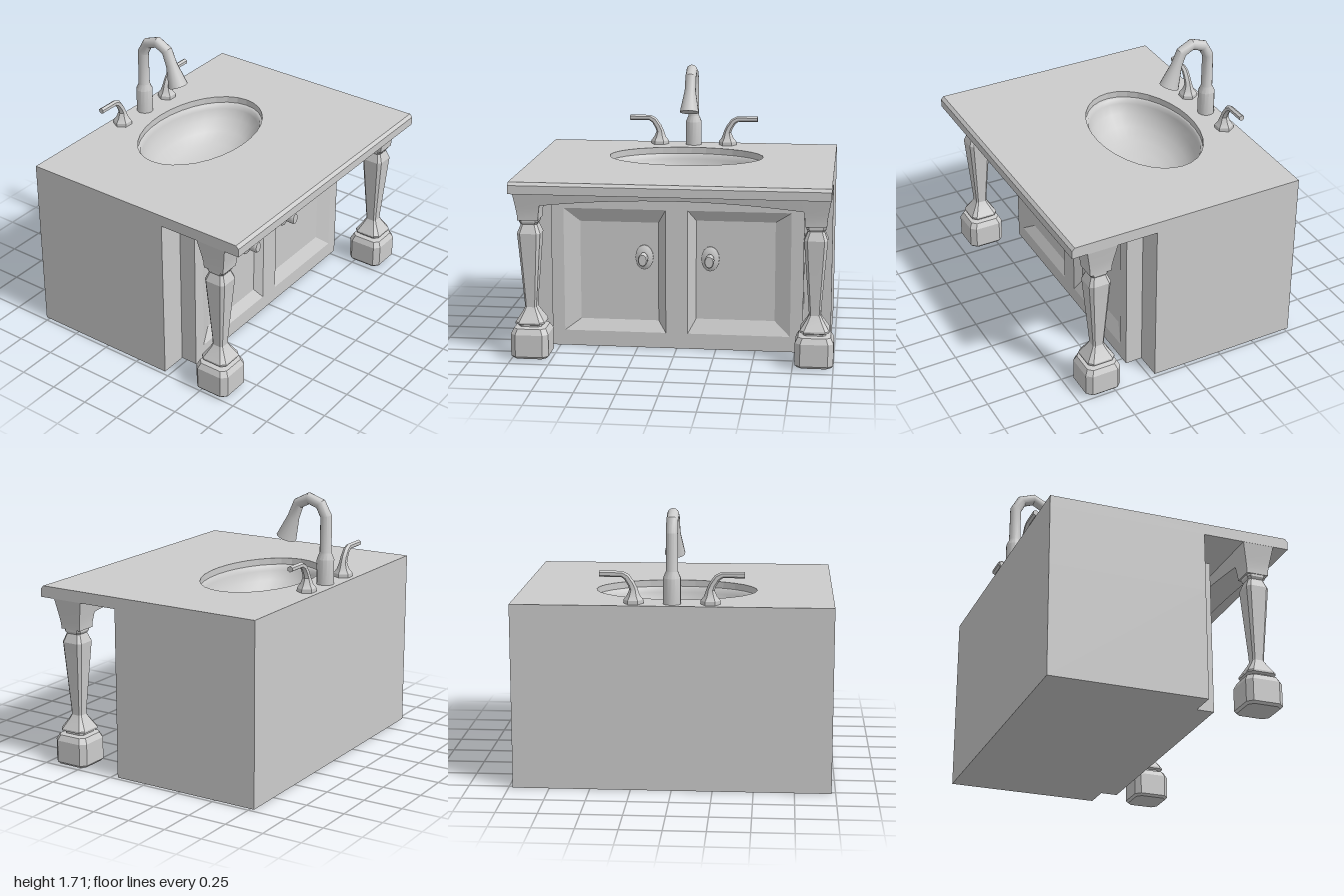
import * as THREE from 'three';
import { toCreasedNormals } from 'three/addons/utils/BufferGeometryUtils.js';

const grey = new THREE.MeshStandardMaterial({ color: 0xcccccc });
const greyDouble = new THREE.MeshStandardMaterial({ color: 0xcccccc, side: THREE.DoubleSide });

function part(parent, name, geometry, material = grey) {
  const mesh = new THREE.Mesh(geometry, material);
  mesh.name = name;
  parent.add(mesh);
  return mesh;
}

function box(x0, x1, y0, y1, z0, z1) {
  return new THREE.BoxGeometry(x1 - x0, y1 - y0, z1 - z0)
    .translate((x0 + x1) / 2, (y0 + y1) / 2, (z0 + z1) / 2);
}

// Cross-sections with unit half-width
const round = (n) => Array.from({ length: n }, (_, i) => {
  const a = (i / n) * Math.PI * 2;
  return [Math.cos(a), Math.sin(a)];
});
const square = [[1, -1], [1, 1], [-1, 1], [-1, -1]];
const c = 0.72;
const softSquare = [[1, -c], [1, c], [c, 1], [-c, 1], [-1, c], [-1, -c], [-c, -1], [c, -1]];

// Sweeps a section along rows of [x, y, halfWidth] in the xy plane, with closed ends
function sweep(rows, section, crease = 0.6) {
  const pts = rows.map(([x, y]) => new THREE.Vector2(x, y));
  const n = section.length, last = rows.length - 1;
  const pos = [], idx = [];
  pts.forEach((p, i) => {
    const t = new THREE.Vector2();
    if (i > 0) t.add(p.clone().sub(pts[i - 1]).normalize());
    if (i < last) t.add(pts[i + 1].clone().sub(p).normalize());
    t.normalize();
    const r = rows[i][2];
    for (const [u, v] of section) pos.push(p.x + r * u * t.y, p.y - r * u * t.x, r * v);
  });
  pos.push(pts[0].x, pts[0].y, 0, pts[last].x, pts[last].y, 0);
  const start = n * rows.length;
  for (let j = 0; j < n; j++) {
    const k = (j + 1) % n;
    for (let i = 0; i < last; i++) {
      const a = i * n + j, b = i * n + k;
      idx.push(a, a + n, b, b, a + n, b + n);
    }
    idx.push(start, j, k, start + 1, last * n + k, last * n + j);
  }
  const g = new THREE.BufferGeometry();
  g.setAttribute('position', new THREE.Float32BufferAttribute(pos, 3));
  g.setIndex(idx);
  return toCreasedNormals(g, crease);
}

function rectPath(path, x0, x1, y0, y1) {
  path.moveTo(x0, y0);
  path.lineTo(x1, y0);
  path.lineTo(x1, y1);
  path.lineTo(x0, y1);
  path.closePath();
  return path;
}

// Horizontal slab with the oval basin opening
const basin = { x: -0.23, rx: 0.33, rz: 0.505 };
function slabWithOpening(x0, x1, y0, y1) {
  const shape = rectPath(new THREE.Shape(), x0, x1, -0.975, 0.975);
  shape.holes.push(new THREE.Path().absellipse(basin.x, 0, basin.rx, basin.rz, 0, Math.PI * 2));
  return new THREE.ExtrudeGeometry(shape, { depth: y1 - y0, bevelEnabled: false, curveSegments: 16 })
    .rotateX(-Math.PI / 2).translate(0, y0, 0);
}

// Shape drawn across the width and up, extruded towards the cabinet front (+x)
function extrudeForward(shape, x0, x1) {
  return new THREE.ExtrudeGeometry(shape, { depth: x1 - x0, bevelEnabled: false, curveSegments: 20 })
    .rotateY(Math.PI / 2).translate(x0, 0, 0);
}

// Sloped border and flat floor of a recessed door, for the +z side
function doorPanel() {
  const ring = (x, y0, y1, z0, z1) => [x, y0, z0, x, y0, z1, x, y1, z1, x, y1, z0];
  const pos = [...ring(0.32, 0.1, 0.9, 0.07, 0.72), ...ring(0.28, 0.17, 0.81, 0.12, 0.62)];
  const idx = [4, 6, 5, 4, 7, 6];
  for (let i = 0; i < 4; i++) {
    const j = (i + 1) % 4;
    idx.push(i, i + 4, j, j, i + 4, j + 4);
  }
  const g = new THREE.BufferGeometry();
  g.setAttribute('position', new THREE.Float32BufferAttribute(pos, 3));
  g.setIndex(idx);
  return toCreasedNormals(g, 0.3);
}

export function createModel() {
  const model = new THREE.Group();
  model.name = 'vanity';

  // Cabinet and worktop
  part(model, 'cabinetBase', box(-0.775, 0.21, 0, 0.7, -0.975, 0.975));
  part(model, 'cabinetUpper', slabWithOpening(-0.775, 0.21, 0.7, 1.075));
  part(model, 'worktop', slabWithOpening(-0.775, 0.752, 1.075, 1.147));
  const nose = new THREE.Shape([[0.752, 1.075], [0.77, 1.075], [0.77, 1.128], [0.752, 1.147]]
    .map(([x, y]) => new THREE.Vector2(x, y)));
  part(model, 'worktopEdge', new THREE.ExtrudeGeometry(nose, { depth: 1.95, bevelEnabled: false })
    .translate(0, 0, -0.975));

  // Basin
  const bowl = [[0, 0.86], [0.3, 0.868], [0.55, 0.895], [0.75, 0.945], [0.88, 1.01], [0.94, 1.07], [0.955, 1.1], [1, 1.105]];
  const bowlGeo = new THREE.LatheGeometry(bowl.map(([r, y]) => new THREE.Vector2(r, y)), 32)
    .scale(basin.rx, 1, basin.rz).translate(basin.x, 0, 0);
  part(model, 'basin', bowlGeo, greyDouble);

  // Front frame with two door openings
  const frame = rectPath(new THREE.Shape(), -0.8, 0.8, 0, 0.98);
  frame.holes.push(rectPath(new THREE.Path(), 0.07, 0.72, 0.1, 0.9));
  frame.holes.push(rectPath(new THREE.Path(), -0.72, -0.07, 0.1, 0.9));
  part(model, 'doorFrame', extrudeForward(frame, 0.21, 0.32));

  // Arched apron, flaring towards the worktop
  const arch = new THREE.Shape();
  arch.moveTo(-0.82, 0.98);
  arch.quadraticCurveTo(0, 1.08, 0.82, 0.98);
  arch.lineTo(0.82, 1.075);
  arch.lineTo(-0.82, 1.075);
  const apron = extrudeForward(arch, -1, 1);
  const p = apron.attributes.position;
  for (let i = 0; i < p.count; i++) {
    p.setX(i, 0.57 + p.getX(i) * (0.08 + (p.getY(i) - 0.97) * 0.19));
  }
  apron.computeVertexNormals();
  part(model, 'apron', apron);

  const legRows = [[0.01, 0.105], [0.025, 0.118], [0.165, 0.118], [0.2, 0.1], [0.208, 0.07], [0.218, 0.07],
    [0.226, 0.09], [0.238, 0.09], [0.3, 0.05], [0.325, 0.037], [0.36, 0.038], [0.8, 0.072], [0.855, 0.05],
    [0.87, 0.06], [0.89, 0.06]].map(([y, r]) => [0, y, r]);
  const bracketRows = [[0.885, 0.07], [0.92, 0.072], [0.97, 0.08], [1.075, 0.1]].map(([y, r]) => [0, y, r]);
  const handleRows = [[0, 1.147, 0.06], [0, 1.17, 0.06], [0, 1.195, 0.04], [0, 1.235, 0.025],
    [0.012, 1.265, 0.023], [0.04, 1.308, 0.021], [0.07, 1.325, 0.019], [0.205, 1.325, 0.019]];
  const plate = [[0, 0.275], [0.08, 0.275], [0.08, 0.29], [0.05, 0.305], [0.025, 0.307], [0.025, 0.32],
    [0.04, 0.322], [0.042, 0.365], [0.035, 0.377], [0, 0.377]].map(([r, y]) => new THREE.Vector2(r, y));

  for (const [side, s] of [['left', 1], ['right', -1]].reverse()) {
    // Leg with square foot and bracket
    const leg = new THREE.Group();
    leg.name = side === 'left' ? 'legLeft' : 'legRight';
    leg.position.set(0.57, 0, s * 0.882);
    part(leg, 'turnedLeg', sweep(legRows, softSquare, 0.45));
    part(leg, 'bracket', sweep(bracketRows, square, 0.3)).scale.z = 0.92;
    model.add(leg);

    // Door panel: turned geometry keeps faces outward on both sides
    const door = doorPanel();
    if (s < 0) door.translate(0, 0, -0.395).rotateX(Math.PI).translate(0, 1, -0.395);
    part(model, 'doorPanel', door);

    // Knob with oval back plate
    const knob = toCreasedNormals(new THREE.LatheGeometry(plate, 16).rotateZ(-Math.PI / 2), 0.6);
    const knobMesh = part(model, 'doorKnob', knob);
    knobMesh.scale.z = 0.72;
    knobMesh.position.set(0, 0.585, s * 0.21);

    // Tap handle, lever pointing outwards
    const handle = part(model, 'tapHandle', sweep(handleRows, round(6), 0.5));
    handle.rotation.y = -s * Math.PI / 2;
    handle.position.set(-0.69, 0, s * 0.232);
  }

  // Gooseneck spout
  const spoutRows = [[-0.69, 1.147, 0.054], [-0.69, 1.305, 0.054], [-0.69, 1.345, 0.037], [-0.69, 1.57, 0.036],
    [-0.651, 1.643, 0.036], [-0.57, 1.672, 0.036], [-0.495, 1.633, 0.036], [-0.46, 1.545, 0.037], [-0.41, 1.409, 0.064]];
  part(model, 'spout', sweep(spoutRows, round(14), 0.5));

  return model;
}
